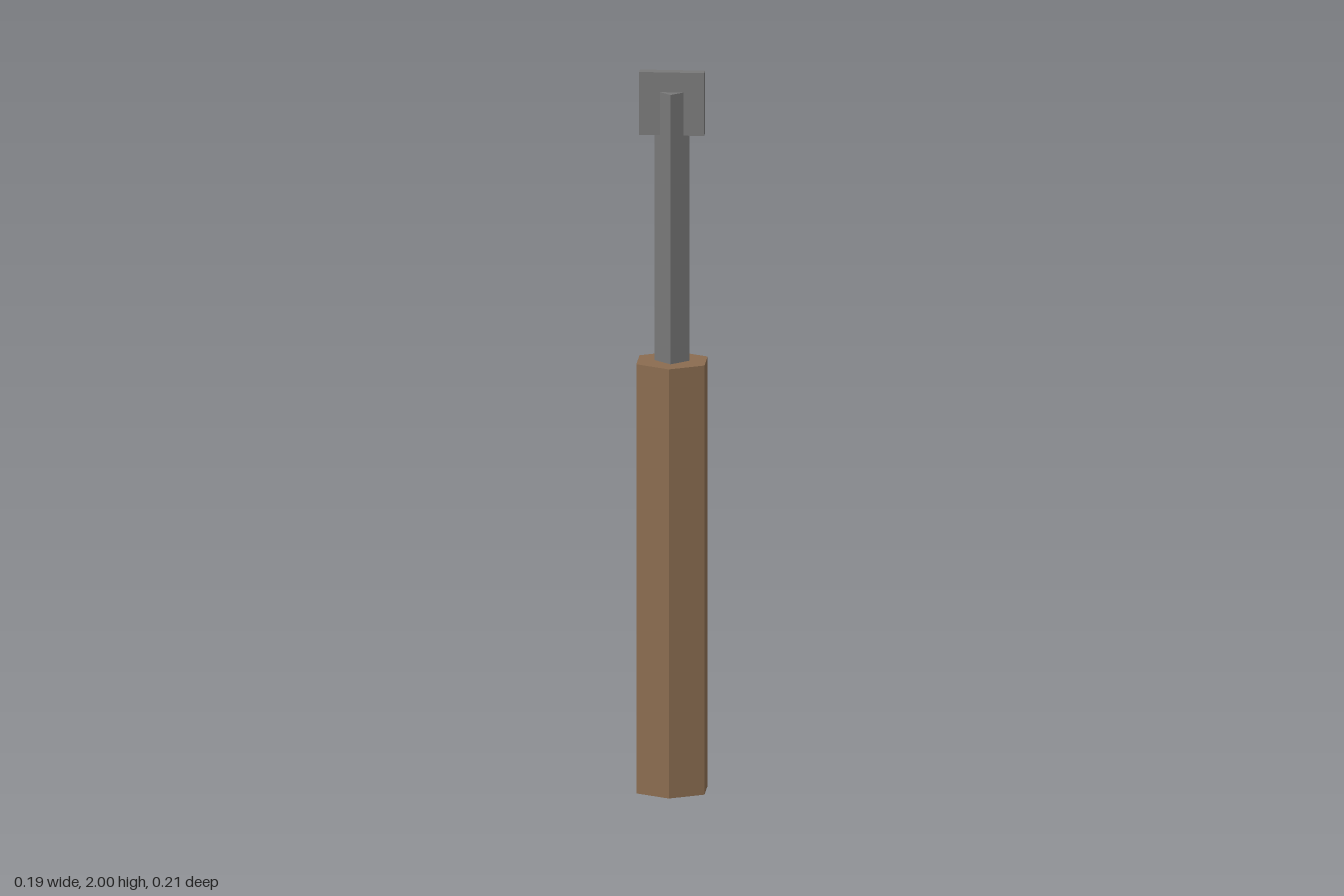
import * as THREE from 'three';

export function createModel() {
  const group = new THREE.Group();
  const wood = new THREE.MeshStandardMaterial({ color: 0x8a6c50, flatShading: true });
  wood.name = 'brown wood';
  const steel = new THREE.MeshStandardMaterial({ color: 0x787878, flatShading: true });
  steel.name = 'grey steel';

  // Place a part so that its base sits at the given height
  const add = (name, geometry, material, base, height) => {
    const mesh = new THREE.Mesh(geometry, material);
    mesh.name = name;
    mesh.position.y = base + height / 2;
    group.add(mesh);
  };
  // Straight prism with one corner facing the front
  const prism = (radius, height, sides) =>
    new THREE.CylinderGeometry(radius, radius, height, sides);

  // Hexagonal grip
  add('handle', prism(0.107, 1.195, 6), wood, 0, 1.195);
  // Square shaft, turned corner-first
  add('shaft', prism(0.047, 0.75, 4), steel, 1.195, 0.75);
  // Flat square tip through the top of the shaft
  add('blade', new THREE.BoxGeometry(0.177, 0.175, 0.03), steel, 1.825, 0.175);

  return group;
}
